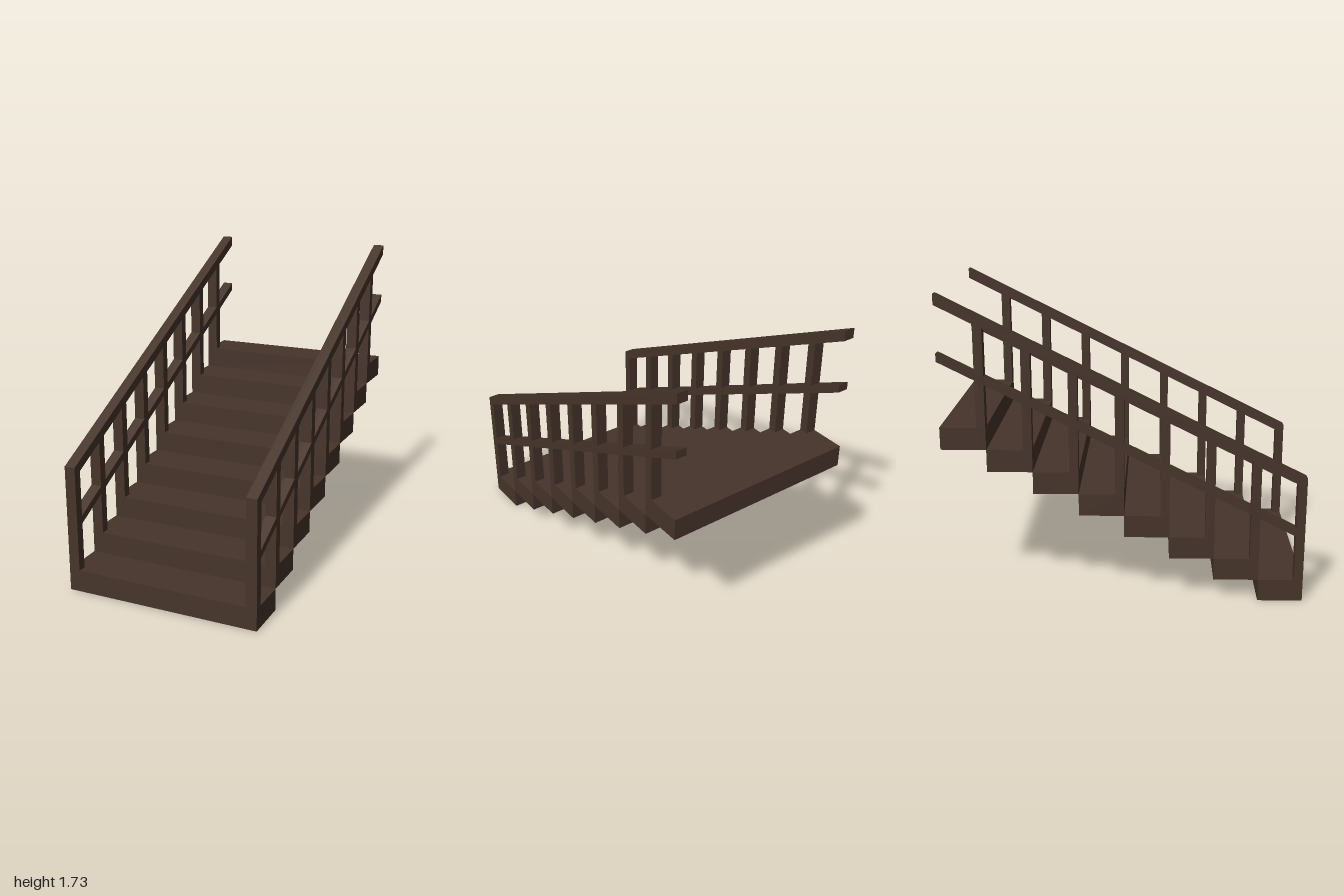
import * as THREE from 'three';

const STEPS = 8, RUN = 0.25, RISE = 0.125;
const HALF = 0.5625, RAIL = 0.0625, POST = 0.05;

const wood = new THREE.MeshStandardMaterial({ color: 0x46342a, flatShading: true });

// Height of a sloping line that is y0 high at the front edge (z = 1)
const slope = (y0, z) => y0 + (1 - z) * (RISE / RUN);

// Upright slab: a side profile of [z, y] points, one rail thickness wide
function slab(name, points) {
  const shape = new THREE.Shape(points.map(([z, y]) => new THREE.Vector2(z, y)));
  const geometry = new THREE.ExtrudeGeometry(shape, { depth: RAIL, bevelEnabled: false });
  geometry.rotateY(-Math.PI / 2).translate(RAIL / 2, 0, 0);
  const mesh = new THREE.Mesh(geometry, wood);
  mesh.name = name;
  return mesh;
}

// Sloping bar between two heights, running from zFront to the back edge
const bar = (name, low, high, zFront) => slab(name, [
  [zFront, slope(low, zFront)], [-1, slope(low, -1)],
  [-1, slope(high, -1)], [zFront, slope(high, zFront)],
]);

function createRailing(name, x) {
  const group = new THREE.Group();
  group.name = name;
  group.add(bar('handrail', 0.667, 0.725, 1));
  group.add(bar('middleRail', 0.363, 0.408, 1));

  // One post on the front edge of each step, cut to the slope of the handrail
  for (let i = 0; i < STEPS; i++) {
    const front = 1 - i * RUN, back = front - POST, base = (i + 1) * RISE;
    group.add(slab('post', [
      [front, base], [back, base], [back, slope(0.667, back)], [front, slope(0.667, front)],
    ]));
  }
  group.position.x = x;
  return group;
}

export function createModel() {
  const model = new THREE.Group();
  model.name = 'staircase';

  // Solid block steps
  for (let i = 0; i < STEPS; i++) {
    const step = new THREE.Mesh(new THREE.BoxGeometry(HALF * 2, RISE, RUN), wood);
    step.name = 'step';
    step.position.set(0, (i + 0.5) * RISE, 1 - (i + 0.5) * RUN);
    model.add(step);
  }

  // Matching railings on both sides
  model.add(createRailing('leftRailing', HALF - RAIL / 2));
  model.add(createRailing('rightRailing', -HALF + RAIL / 2));
  return model;
}
